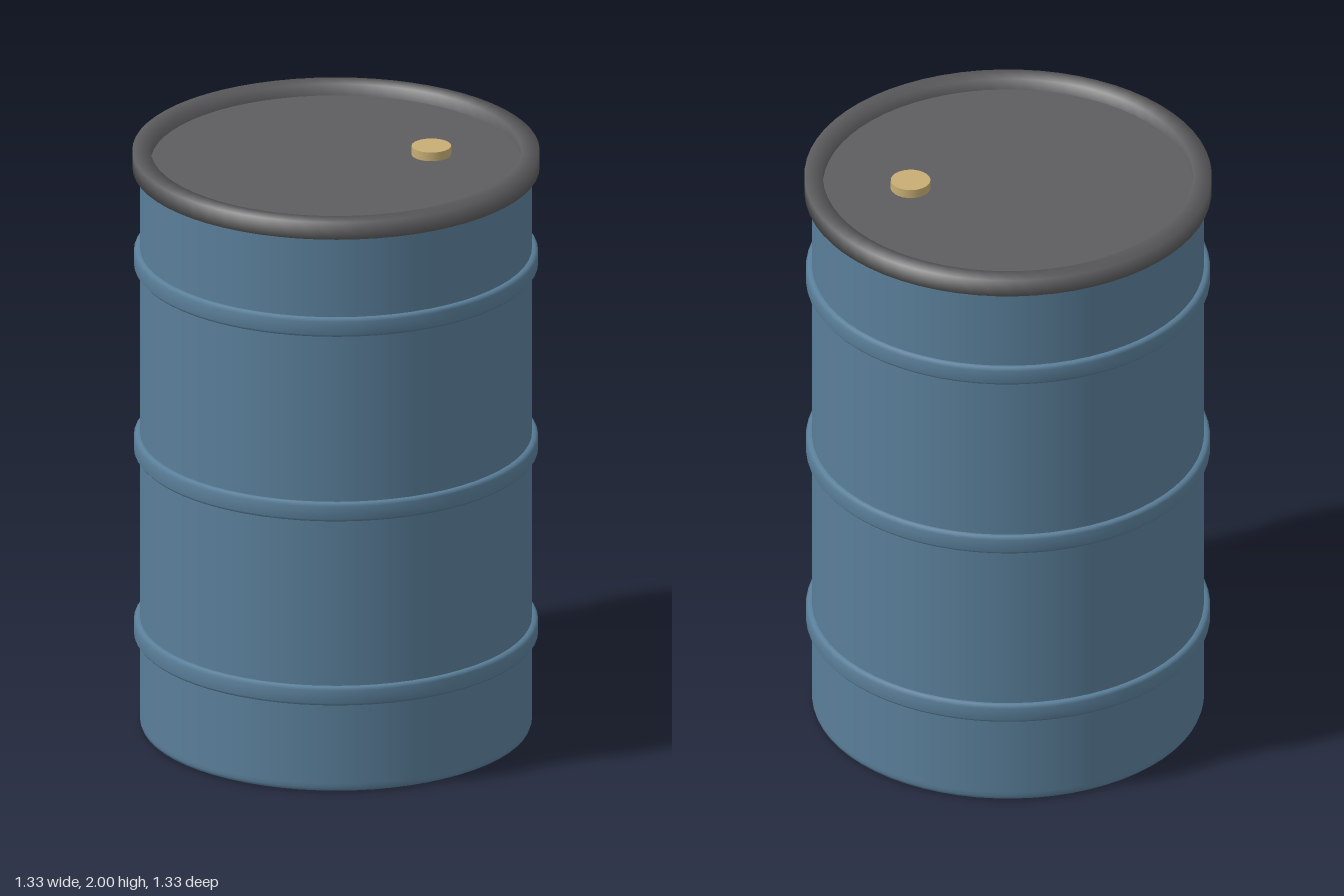
import * as THREE from 'three';

const SEGMENTS = 64;

function material(name, color) {
  const m = new THREE.MeshStandardMaterial({ color });
  m.name = name;
  return m;
}

// Revolve a profile of [radius, height] points listed bottom to top.
function lathe(name, profile, mat) {
  const points = profile.map(([r, y]) => new THREE.Vector2(r, y));
  const mesh = new THREE.Mesh(new THREE.LatheGeometry(points, SEGMENTS), mat);
  mesh.name = name;
  return mesh;
}

export function createModel() {
  const blue = material('blue steel', 0x5a7f9a);
  const grey = material('dark grey lid', 0x5e5e60);
  const brass = material('brass', 0xc8ae74);

  const drum = new THREE.Group();
  drum.name = 'drum';

  // Body wall with a softly rounded foot
  drum.add(lathe('body', [
    [0.625, 0], [0.636, 0.005], [0.64, 0.016], [0.64, 0.03], [0.64, 1.95],
  ], blue));

  // Flat underside
  const base = new THREE.Mesh(new THREE.CircleGeometry(0.625, SEGMENTS), blue);
  base.name = 'base';
  base.rotation.x = Math.PI / 2;
  drum.add(base);

  // Three raised rolling hoops
  [0.34, 0.983, 1.628].forEach((y, i) => {
    const hoop = lathe('hoop' + (i + 1), [
      [0.638, -0.032], [0.652, -0.032], [0.66, -0.022],
      [0.66, 0.022], [0.652, 0.032], [0.638, 0.032],
    ], blue);
    hoop.position.y = y;
    drum.add(hoop);
  });

  // Rim around the lid, closed ring profile
  drum.add(lathe('rim', [
    [0.605, 1.94], [0.665, 1.94], [0.665, 2], [0.605, 2], [0.605, 1.94],
  ], grey));

  // Recessed lid
  const lid = new THREE.Mesh(new THREE.CircleGeometry(0.61, SEGMENTS), grey);
  lid.name = 'lid';
  lid.rotation.x = -Math.PI / 2;
  lid.position.y = 1.96;
  drum.add(lid);

  // Filler plug
  const plug = new THREE.Mesh(new THREE.CylinderGeometry(0.065, 0.065, 0.04, 24), brass);
  plug.name = 'fillerPlug';
  plug.position.set(0.266, 1.97, 0.175);
  drum.add(plug);

  return drum;
}
